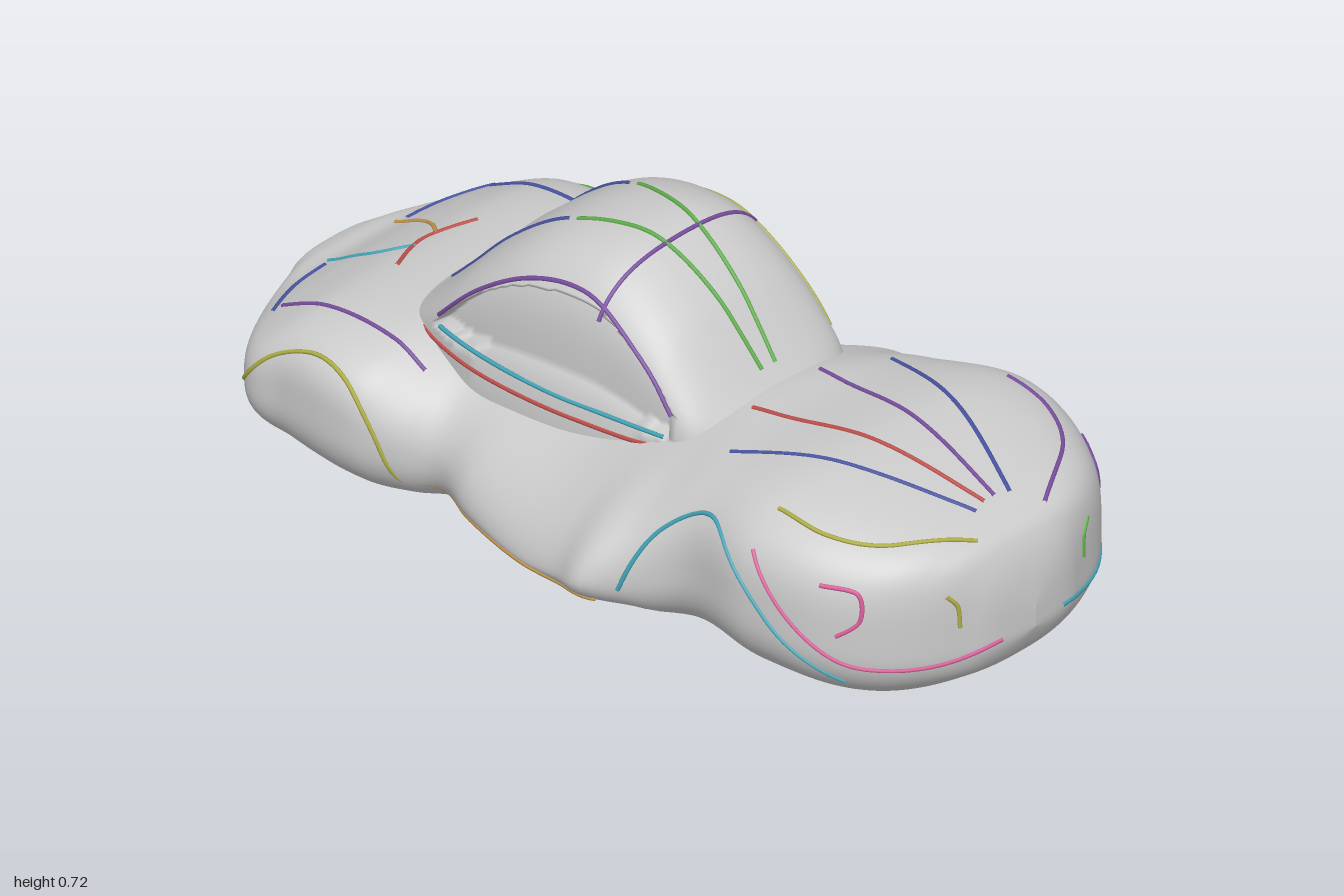
import * as THREE from 'three';

// Body stations: z, left half width, right half width, waist y, bottom y, top y, squareness of the upper half
const BODY = [
  -1, 0, 0, .215, .2, .23, .8,
  -.99, .07, .07, .215, .18, .25, .7,
  -.95, .17, .17, .21, .145, .277, .6,
  -.89, .31, .31, .21, .11, .292, .55,
  -.81, .435, .435, .2, .075, .335, .65,
  -.7, .45, .45, .2, .04, .378, .52,
  -.5, .45, .45, .2, .008, .39, .62,
  -.42, .455, .42, .19, .012, .385, .9,
  -.34, .455, .375, .17, .02, .38, 1,
  -.2, .455, .425, .15, .035, .38, 1.1,
  0, .47, .475, .14, .05, .4, 1.2,
  .12, .49, .495, .16, .05, .43, 1.2,
  .2, .52, .52, .185, .05, .45, 1.2,
  .28, .465, .465, .2, .045, .465, 1,
  .38, .415, .415, .24, .038, .472, .7,
  .6, .445, .44, .26, .03, .5, .6,
  .82, .37, .37, .23, .045, .46, .55,
  .92, .27, .265, .215, .09, .425, .5,
  .965, .17, .17, .21, .125, .385, .52,
  .99, .09, .09, .21, .17, .31, .65,
  1, 0, 0, .21, .195, .24, .8,
];
// Cabin stations: z, half width, roof y
const CABIN = [
  -.7, .08, .34, -.6, .17, .375, -.55, .215, .405, -.48, .245, .475, -.37, .268, .592, -.24, .277, .685,
  -.08, .272, .725, 0, .264, .715, .14, .252, .625, .2, .245, .557, .25, .23, .495, .285, .19, .455,
];
const CABIN_BASE = .3;

// Smooth interpolation of a station table along z
function stations(table, size) {
  const times = [], values = [];
  for (let i = 0; i < table.length; i += size) {
    times.push(table[i]);
    values.push(...table.slice(i + 1, i + size));
  }
  const cubic = new THREE.CubicInterpolant(times, values, size - 1, new Float32Array(size - 1));
  return z => Array.from(cubic.evaluate(THREE.MathUtils.clamp(z, times[0], times.at(-1) - 1e-6)));
}
const bodyAt = stations(BODY, 7);
const cabinAt = stations(CABIN, 3);
const spow = (v, e) => Math.sign(v) * Math.abs(v) ** e;
const lowerShape = upper => Math.max(.8, upper * .85);

function bodyPoint(z, t) {
  const [wl, wr, mid, bot, top, upper] = bodyAt(z);
  const c = Math.cos(t), s = Math.sin(t), e = s > 0 ? upper : lowerShape(upper);
  const x = spow(c, e) * (c > 0 ? wl : wr);
  // the rear floor leans slightly to one side
  const lean = .15 * x * Math.max(0, -s) * Math.max(0, -z);
  return [x, mid + spow(s, e) * (s > 0 ? top - mid : mid - bot) + lean, z];
}

// Cabin arch: upright sides under a gently crowned roof
function cabinArch(z, t) {
  const [w, top] = cabinAt(z);
  const c = Math.cos(t), s = Math.max(0, Math.sin(t)), h = top - CABIN_BASE;
  const k = spow(c, .35);
  return [k * w, CABIN_BASE + h * (.83 * s ** .35 + .17 * s * (1 - k * k)), z];
}
function cabinPoint(z, t) {
  const [x, y] = cabinArch(z, t);
  const top = cabinAt(z)[1];
  // side windows sit back under the roof arch
  const recessed = z > -.44 && z < .19 && y > .41 && y < top - .1;
  return [recessed ? x * .88 : x, y, z];
}

// Places flat path points on the surfaces
const onBody = (x, z) => {
  const [wl, wr, mid, , top, e] = bodyAt(z);
  const c = Math.min(1, Math.abs(x) / (x > 0 ? wl : wr)) ** (1 / e);
  return new THREE.Vector3(x, mid + (top - mid) * Math.sqrt(1 - c * c) ** e, z);
};
const onCabin = (x, z) => {
  const c = Math.min(1, Math.abs(x) / cabinAt(z)[0]) ** (1 / .35);
  return new THREE.Vector3(x, cabinArch(z, Math.acos(c))[1], z);
};
const onFlank = side => (z, y) => {
  const [wl, wr, mid, bot, top, upper] = bodyAt(z);
  const e = y > mid ? upper : lowerShape(upper);
  const s = Math.min(1, y > mid ? (y - mid) / (top - mid) : (mid - y) / (mid - bot)) ** (1 / e);
  return new THREE.Vector3(side * (side > 0 ? wl : wr) * Math.sqrt(1 - s * s) ** e, y, z);
};
const onWindow = side => (z, y) => {
  let low = 0, high = Math.PI / 2;
  for (let i = 0; i < 24; i++) {
    const t = (low + high) / 2;
    if (cabinArch(z, t)[1] < y) low = t; else high = t;
  }
  return new THREE.Vector3(side * cabinArch(z, low)[0], y, z);
};

// Skin of rings along z, leaving out the quads that are hidden
function loft(point, zs, n, hidden) {
  const pos = [], index = [];
  zs.forEach((z, i) => {
    for (let j = 0; j < n; j++) {
      const p = point(z, j / n * Math.PI * 2);
      pos.push(...p);
      if (!i || hidden(...p)) continue;
      const k = (j + 1) % n, a = (i - 1) * n, b = i * n;
      index.push(a + j, a + k, b + j, a + k, b + k, b + j);
    }
  });
  const g = new THREE.BufferGeometry();
  g.setAttribute('position', new THREE.Float32BufferAttribute(pos, 3));
  g.setIndex(index);
  g.computeVertexNormals();
  return g;
}
const range = (n, f) => Array.from({ length: n + 1 }, (_, i) => f(i / n));
const underCabin = (x, y, z) => z > -.5 && z < .23 && y > .25 && Math.abs(x) < cabinAt(z)[0] * .88 - .03;
const insideBody = (x, y, z) => y <= CABIN_BASE + 1e-6 || y < onBody(x, z).y - .04;

const RED = 0xc0504d, PINK = 0xd9609a, PURPLE = 0x7a4fa0, BLUE = 0x4a55a5;
const GREEN = 0x5fae4a, CYAN = 0x45a5b8, YELLOW = 0xb0b048, ORANGE = 0xc99a50;

export function createModel() {
  const model = new THREE.Group();
  const grey = new THREE.MeshStandardMaterial({ color: 0xcccccc, side: THREE.DoubleSide });
  const add = (name, geometry, material) => {
    const mesh = new THREE.Mesh(geometry, material);
    mesh.name = name;
    model.add(mesh);
  };
  // Thin coloured styling line following a surface
  const line = (name, color, place, pts) => {
    const flat = new THREE.SplineCurve(pts.map(p => new THREE.Vector2(...p)));
    const path = new THREE.CatmullRomCurve3(flat.getPoints(24).map(p => place(p.x, p.y)));
    add(name, new THREE.TubeGeometry(path, 48, .005, 6), new THREE.MeshStandardMaterial({ color }));
  };

  // Main volumes
  add('body', loft(bodyPoint, range(150, u => Math.sin((u - .5) * Math.PI)), 96, underCabin), grey);
  add('cabin', loft(cabinPoint, range(70, u => -.7 + .985 * u), 192, insideBody), grey);

  for (const s of [-1, 1]) {
    const left = s > 0;
    const n = left ? 'left' : 'right';
    const flank = onFlank(s);
    // Bonnet and front wings
    line(n + 'BonnetInnerLine', left ? PURPLE : RED, onBody, [[s * .1, .3], [s * .06, .6], [s * .015, .87]]);
    line(n + 'BonnetOuterLine', BLUE, onBody, [[s * .24, .37], [s * .15, .65], [s * .05, .88]]);
    line(n + 'WingLine', left ? PURPLE : YELLOW, onBody, [[s * .34, .6], [s * .33, .72], [s * .26, .83], [s * .1, .93]]);
    // Nose
    line(n + 'BumperLine', left ? CYAN : PINK, flank, [[.99, .2], [.95, .18], [.88, .18], [.8, .2], [.7, .28], [.6, .4]]);
    line(n + 'HeadlightLine', left ? GREEN : YELLOW, flank, [[.96, .26], [.957, .31], [.945, .34]]);
    line(n + 'LampOutline', left ? PURPLE : PINK, flank, [[.8, .26], [.84, .3], [.83, .36], [.76, .37]]);
    // Wheel arches and sill
    line(n + 'FrontArch', CYAN, flank, [[.27, .18], [.33, .32], [.45, .4], [.56, .35], [.68, .23], [.8, .14]]);
    line(n + 'RearArch', left ? GREEN : YELLOW, flank, [[-.41, .1], [-.45, .22], [-.52, .31], [-.62, .335], [-.73, .29], [-.81, .2]]);
    line(n + 'Sill', left ? PURPLE : ORANGE, flank, [[.22, .14], [0, .13], [-.2, .12], [-.4, .1]]);
    // Cabin
    line(n + 'WindscreenLine', GREEN, onCabin, [[s * .09, -.2], [s * .05, 0], [s * .02, .25]]);
    line(n + 'RearScreenLine', BLUE, onCabin, [[s * .09, -.22], [s * .11, -.4], [s * .1, -.54]]);
    line(n + 'RoofEdge', left ? YELLOW : PURPLE, onWindow(s),
      [[.2, .46], [.13, .54], [0, .63], [-.1, .645], [-.22, .61], [-.34, .53], [-.44, .43]]);
    line(n + 'WindowSill', CYAN, onWindow(s), [[.19, .41], [-.1, .4], [-.43, .41]]);
    line(n + 'CabinBase', RED, onWindow(s), [[.28, .42], [.1, .37], [-.3, .36], [-.55, .38], [-.62, .36]]);
    // Tail
    line(n + 'DeckLine', left ? ORANGE : CYAN, onBody, [[s * .03, -.71], [s * .08, -.78], [s * .1, -.89]]);
    line(n + 'RearWingLine', left ? BLUE : PURPLE, onBody, [[s * .31, -.42], [s * .31, -.6], [s * .31, -.82]]);
    line(n + 'TailLine', BLUE, onBody, [[s * .12, -.88], [s * .22, -.87], [s * .33, -.83]]);
  }
  // Lines across the car
  line('roofBand', PURPLE, onCabin, [[-.24, 0], [0, .01], [.24, 0]]);
  line('deckCross', RED, onBody, [[-.12, -.68], [0, -.72], [.12, -.68]]);
  return model;
}
